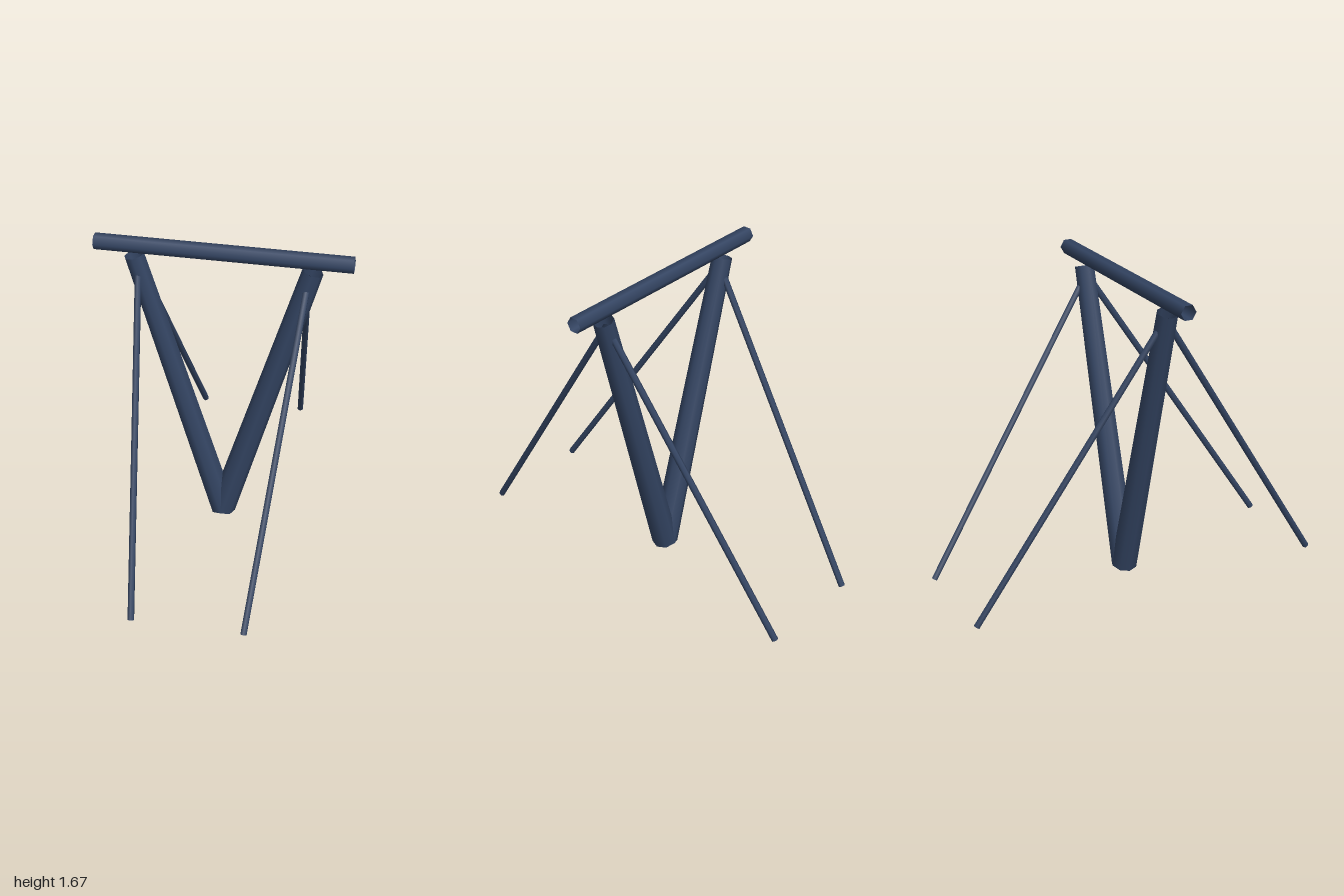
import * as THREE from 'three';

const navy = new THREE.MeshStandardMaterial({ color: 0x334462, side: THREE.DoubleSide });
navy.name = 'navy paint';

// Open-ended tube running from point a to point b
function tube(name, a, b, radiusA, radiusB, sides) {
  const start = new THREE.Vector3(...a);
  const end = new THREE.Vector3(...b);
  const axis = end.clone().sub(start);
  const geometry = new THREE.CylinderGeometry(radiusB, radiusA, axis.length(), sides, 1, true);
  const mesh = new THREE.Mesh(geometry, navy);
  mesh.name = name;
  mesh.position.copy(start).add(end).multiplyScalar(0.5);
  mesh.quaternion.setFromUnitVectors(new THREE.Vector3(0, 1, 0), axis.normalize());
  return mesh;
}

export function createModel() {
  const model = new THREE.Group();
  model.name = 'trestle';

  // Horizontal bar across the top
  model.add(tube('topBar', [-0.655, 1.632, 0], [0.655, 1.632, 0], 0.042, 0.042, 6));

  for (const [side, sx] of [['left', 1], ['right', -1]]) {
    // Tapered main leg of the V
    model.add(tube(`${side}Leg`, [0, 0.02, 0], [sx * 0.452, 1.575, 0], 0.07, 0.0535, 8));

    // Thin braces splayed forward and back
    for (const [end, sz] of [['Front', 1], ['Back', -1]]) {
      model.add(tube(`${side}${end}Brace`,
        [sx * 0.289, 0.025, sz * 0.985], [sx * 0.431, 1.53, sz * 0.005], 0.0175, 0.0175, 6));
    }
  }
  return model;
}
